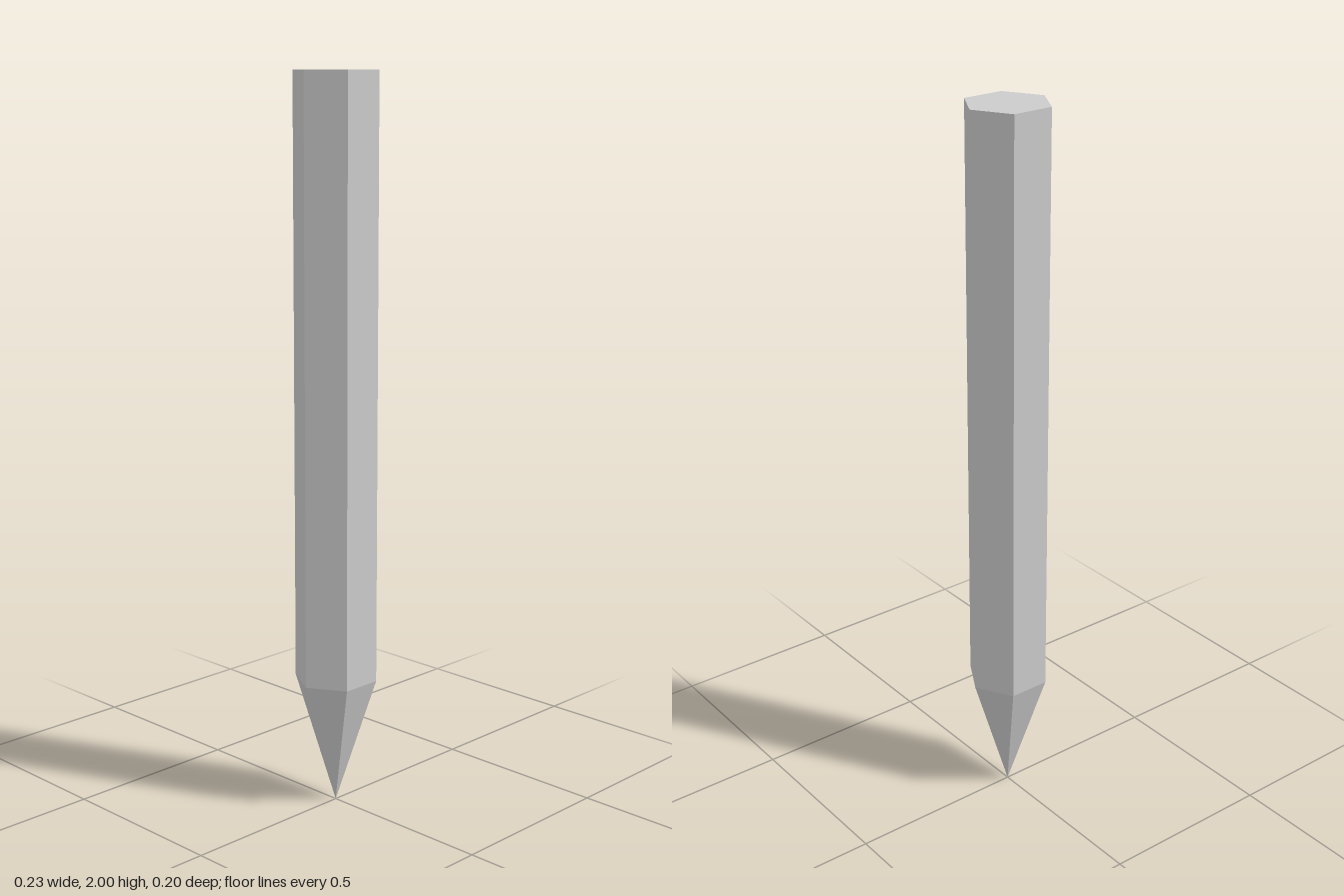
import * as THREE from 'three';

const SIDES = 6;
const RADIUS = 0.115; // corner radius, corners on the x axis
const TIP_HEIGHT = 0.36;
const HEIGHT = 2;

export function createModel() {
  const group = new THREE.Group();
  group.name = 'pointedStake';
  const material = new THREE.MeshStandardMaterial({ color: 0xcccccc, flatShading: true });

  // Hexagonal section between two heights
  function addSection(name, bottomRadius, y0, y1, open) {
    const geometry = new THREE.CylinderGeometry(
      RADIUS, bottomRadius, y1 - y0, SIDES, 1, open, Math.PI / 6);
    geometry.translate(0, (y0 + y1) / 2, 0);
    const mesh = new THREE.Mesh(geometry, material);
    mesh.name = name;
    group.add(mesh);
  }

  // Straight shaft with a flat top
  addSection('shaft', RADIUS, TIP_HEIGHT, HEIGHT, false);
  // Tip tapering to a point on the ground
  addSection('tip', 0, 0, TIP_HEIGHT, true);

  return group;
}
